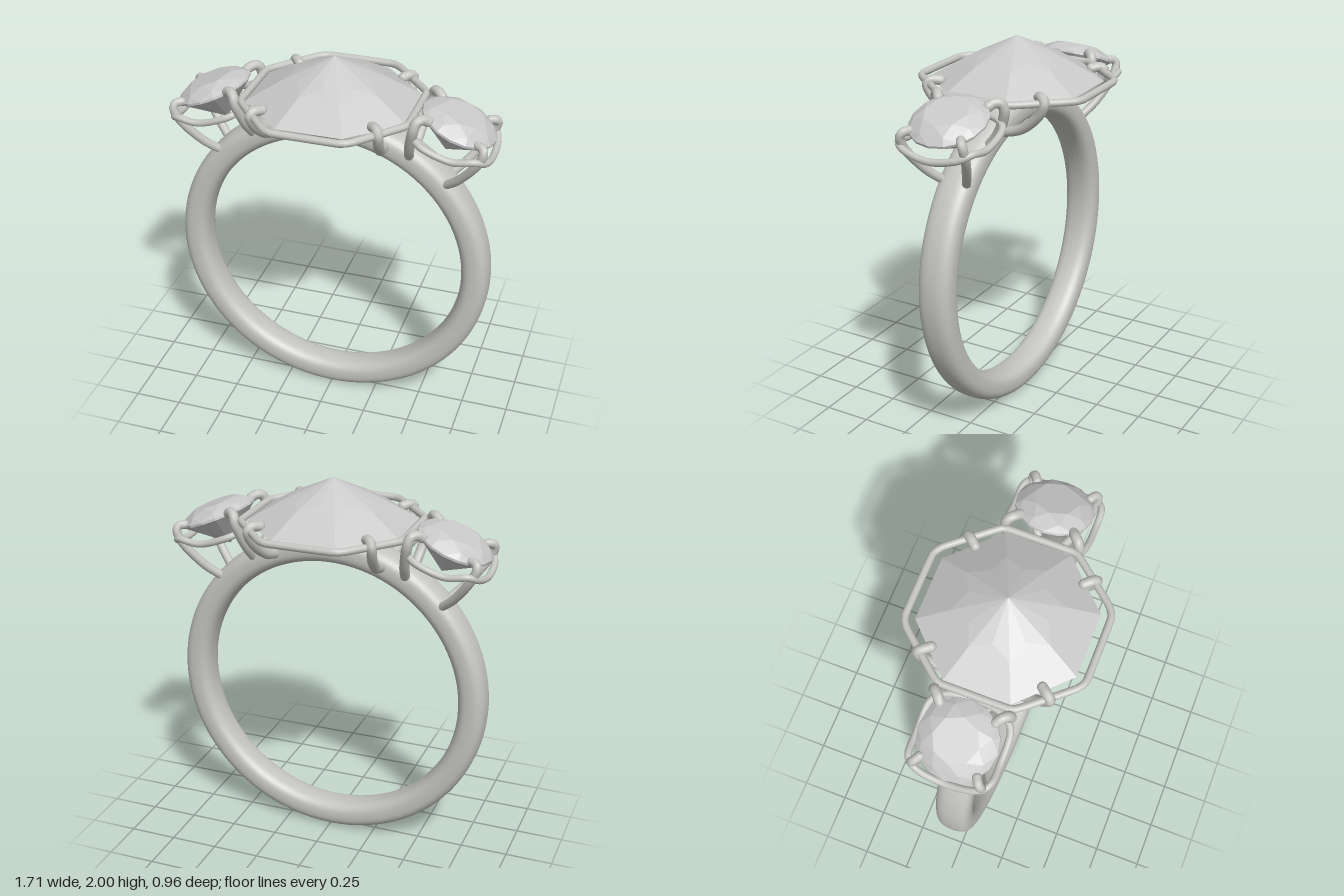
import * as THREE from 'three';
import { ConvexGeometry } from 'three/addons/geometries/ConvexGeometry.js';

const V = (x, y, z) => new THREE.Vector3(x, y, z);

// n points evenly round a horizontal circle
function ringPoints(n, radius, y, offset = 0) {
  return Array.from({ length: n }, (_, i) => {
    const a = ((i + offset) / n) * Math.PI * 2;
    return V(radius * Math.cos(a), y, radius * Math.sin(a));
  });
}

export function createModel() {
  const model = new THREE.Group();
  const metal = new THREE.MeshStandardMaterial({ color: 0xc4c4c1 });
  metal.name = 'ring metal';
  const gem = new THREE.MeshStandardMaterial({ color: 0xc9c9c9 });
  gem.name = 'gemstone';

  function add(parent, name, geometry, material) {
    const mesh = new THREE.Mesh(geometry, material);
    mesh.name = name;
    parent.add(mesh);
    return mesh;
  }

  // Wire through points; open wires get rounded ends
  function wire(parent, name, points, radius, closed = false, tension = 0.5) {
    const group = new THREE.Group();
    group.name = name;
    parent.add(group);
    const curve = new THREE.CatmullRomCurve3(points, closed, 'catmullrom', tension);
    add(group, name + 'Wire', new THREE.TubeGeometry(curve, closed ? 96 : 28, radius, 12, closed), metal);
    if (!closed) {
      for (const p of [points[0], points[points.length - 1]]) {
        add(group, name + 'End', new THREE.SphereGeometry(radius, 12, 8), metal).position.copy(p);
      }
    }
  }

  // Band: rounded-rectangle section turned about z, slightly narrower at the bottom
  const section = [];
  for (let i = 0; i <= 32; i++) {
    const a = Math.PI + (i / 32) * Math.PI * 2;
    const c = Math.cos(a), s = Math.sin(a);
    const soft = (v) => Math.sign(v) * Math.pow(Math.abs(v), 0.75);
    section.push(new THREE.Vector2(0.779 + 0.074 * soft(c), 0.096 * soft(s)));
  }
  const band = new THREE.LatheGeometry(section, 96);
  band.rotateX(Math.PI / 2);
  band.translate(0, 0.853, 0);
  const pos = band.attributes.position;
  for (let i = 0; i < pos.count; i++) {
    pos.setZ(i, pos.getZ(i) * (0.88 + 0.12 * Math.min(1, pos.getY(i) / 1.4)));
  }
  add(model, 'band', band, metal);

  // Centre stone: octagonal, pointed crown with a flat underside
  add(model, 'centreStone', new ConvexGeometry([
    V(0, 2, 0),
    ...ringPoints(8, 0.2, 1.903),
    ...ringPoints(8, 0.27, 1.873, 0.5),
    ...ringPoints(8, 0.443, 1.775, 0.5),
  ]), gem);

  // Octagonal frame around the centre stone
  const frame = [];
  const quarter = [[0.43, 0.17], [0.41, 0.215], [0.23, 0.425], [0.17, 0.46]];
  for (const [sx, sz] of [[1, 1], [-1, 1], [-1, -1], [1, -1]]) {
    const corner = quarter.map(([x, z]) => V(sx * x, 1.778, sz * z));
    frame.push(...(sx * sz > 0 ? corner : corner.reverse()));
  }
  wire(model, 'centreFrame', frame, 0.019, true, 0.15);

  // Side stone: round cut with table, girdle and pointed base
  const sideStone = new ConvexGeometry([
    ...ringPoints(8, 0.115, 0.058),
    ...ringPoints(8, 0.168, 0.034, 0.5),
    ...ringPoints(16, 0.2, 0.006),
    ...ringPoints(16, 0.2, -0.006),
    V(0, -0.17, 0),
  ]);

  for (const s of [1, -1]) {
    const side = new THREE.Group();
    side.name = s > 0 ? 'leftSetting' : 'rightSetting';
    model.add(side);

    const stone = add(side, 'sideStone', sideStone, gem);
    stone.position.set(s * 0.645, 1.735, 0);
    stone.rotation.z = -s * 0.385;

    // Curved gallery wire below the side stone
    const loop = [[0.425, 1.71, 0], [0.44, 1.71, 0.13], [0.5, 1.68, 0.205], [0.65, 1.63, 0.213],
      [0.77, 1.64, 0.205], [0.815, 1.61, 0.14], [0.825, 1.585, 0]];
    const mirrored = loop.slice(1, -1).reverse().map(([x, y, z]) => [x, y, -z]);
    wire(side, 'galleryWire', [...loop, ...mirrored].map(([x, y, z]) => V(s * x, y, z)), 0.018, true);

    // Prongs, one of each kind at front and back
    const prongs = {
      centreProng: [[0.285, 1.58, 0.07], [0.298, 1.62, 0.19], [0.315, 1.7, 0.29],
        [0.325, 1.775, 0.335], [0.31, 1.8, 0.315], [0.28, 1.795, 0.28]],
      innerProng: [[0.415, 1.55, 0.075], [0.43, 1.63, 0.14], [0.455, 1.74, 0.19],
        [0.47, 1.795, 0.185], [0.495, 1.805, 0.16], [0.52, 1.79, 0.14]],
      outerProng: [[0.605, 1.41, 0.065], [0.68, 1.48, 0.115], [0.765, 1.59, 0.165],
        [0.803, 1.665, 0.175], [0.797, 1.695, 0.16], [0.77, 1.7, 0.143]],
    };
    for (const z of [1, -1]) {
      for (const [name, path] of Object.entries(prongs)) {
        wire(side, name, path.map((p) => V(s * p[0], p[1], z * p[2])), name === 'outerProng' ? 0.023 : 0.026);
      }
    }
  }
  return model;
}
